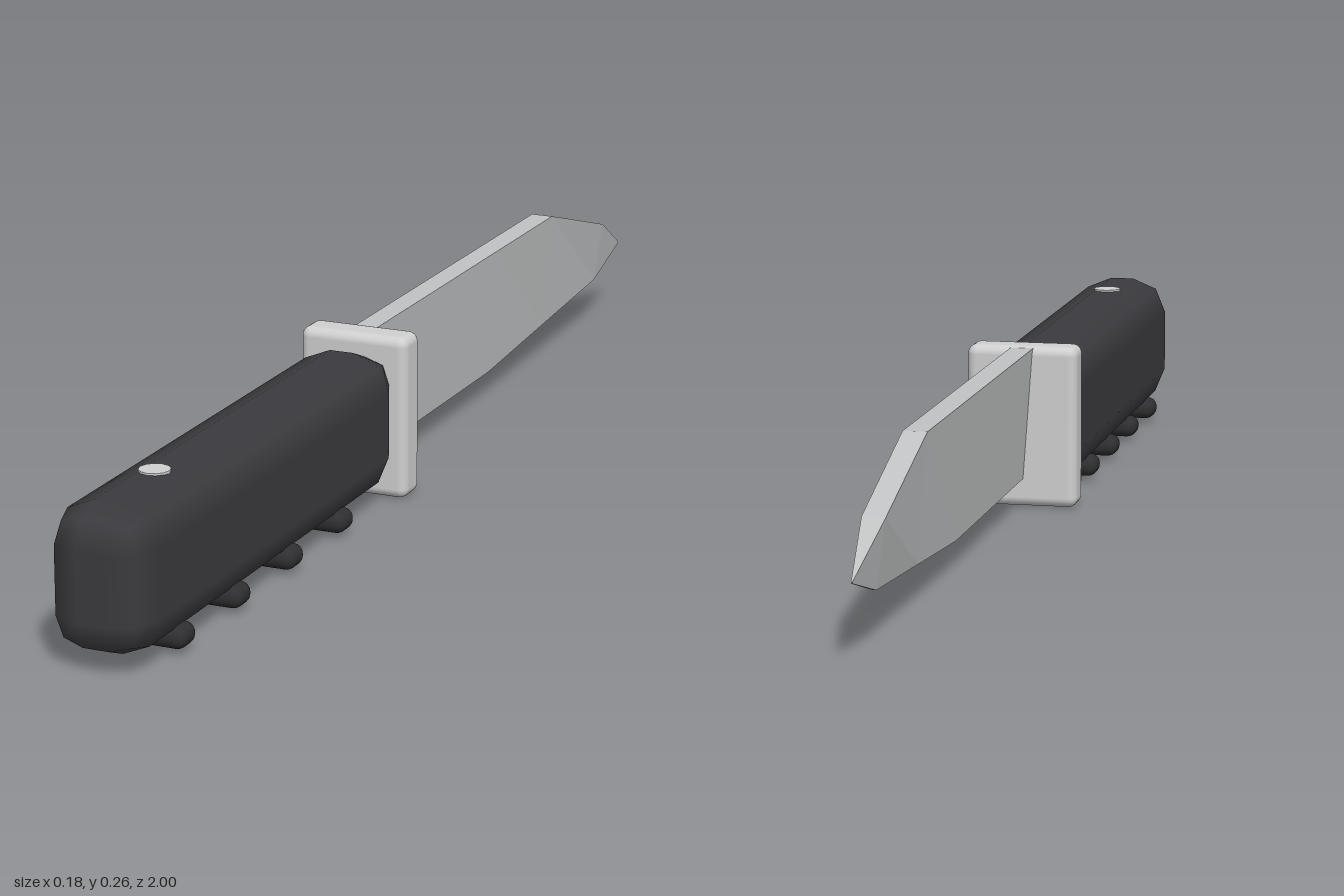
import * as THREE from 'three';
import { RoundedBoxGeometry } from 'three/addons/geometries/RoundedBoxGeometry.js';

function material(name, color) {
  const m = new THREE.MeshStandardMaterial({ color });
  m.name = name;
  return m;
}

// Wedge-shaped blade lofted through four-cornered sections: [z, yBottom, yTop, half spine, half edge]
function bladeGeometry() {
  const sections = [
    [0.1, 0.045, 0.253, 0.018, 0.003],
    [-0.395, 0.045, 0.253, 0.018, 0.003],
    [-0.636, 0.062, 0.253, 0.018, 0.003],
    [-0.878, 0.079, 0.18, 0.017, 0.003],
    [-1, 0.115, 0.117, 0.001, 0.001],
  ];
  const positions = [];
  const index = [];
  for (const [z, bottom, top, spine, edge] of sections) {
    positions.push(-edge, bottom, z, edge, bottom, z, spine, top, z, -spine, top, z);
  }
  for (let s = 0; s < sections.length - 1; s++) {
    for (let k = 0; k < 4; k++) {
      const a = s * 4 + k, b = s * 4 + (k + 1) % 4;
      index.push(a, a + 4, b, b, a + 4, b + 4);
    }
  }
  // Close both ends
  const e = (sections.length - 1) * 4;
  index.push(0, 1, 2, 0, 2, 3, e, e + 2, e + 1, e, e + 3, e + 2);
  let geometry = new THREE.BufferGeometry();
  geometry.setAttribute('position', new THREE.Float32BufferAttribute(positions, 3));
  geometry.setIndex(index);
  geometry = geometry.toNonIndexed();
  geometry.computeVertexNormals();
  return geometry;
}

export function createModel() {
  const model = new THREE.Group();
  model.name = 'knife';
  const gripMat = material('charcoal grip', 0x3b3a3e);
  const ribMat = material('dark rubber', 0x2f2f31);
  const guardMat = material('light metal', 0xcfcfcf);
  const bladeMat = material('blade steel', 0xc0c2c3);

  const add = (name, geometry, mat, x, y, z) => {
    const mesh = new THREE.Mesh(geometry, mat);
    mesh.name = name;
    mesh.position.set(x, y, z);
    model.add(mesh);
    return mesh;
  };

  add('blade', bladeGeometry(), bladeMat, 0, 0, 0);
  add('guard', new RoundedBoxGeometry(0.176, 0.256, 0.058, 3, 0.015), guardMat, 0, 0.128, 0.11);
  add('handle', new RoundedBoxGeometry(0.155, 0.217, 0.88, 1, 0.058), gripMat, 0, 0.1295, 0.56);

  // Finger ribs across the underside of the handle
  const rib = new RoundedBoxGeometry(0.156, 0.034, 0.05, 3, 0.0165);
  for (let i = 0; i < 4; i++) add('fingerRib', rib, ribMat, 0, 0.024, 0.323 + i * 0.176);

  // Stud set into the top of the handle
  add('stud', new THREE.CylinderGeometry(0.023, 0.023, 0.03, 12), guardMat, 0, 0.226, 0.8);

  return model;
}
